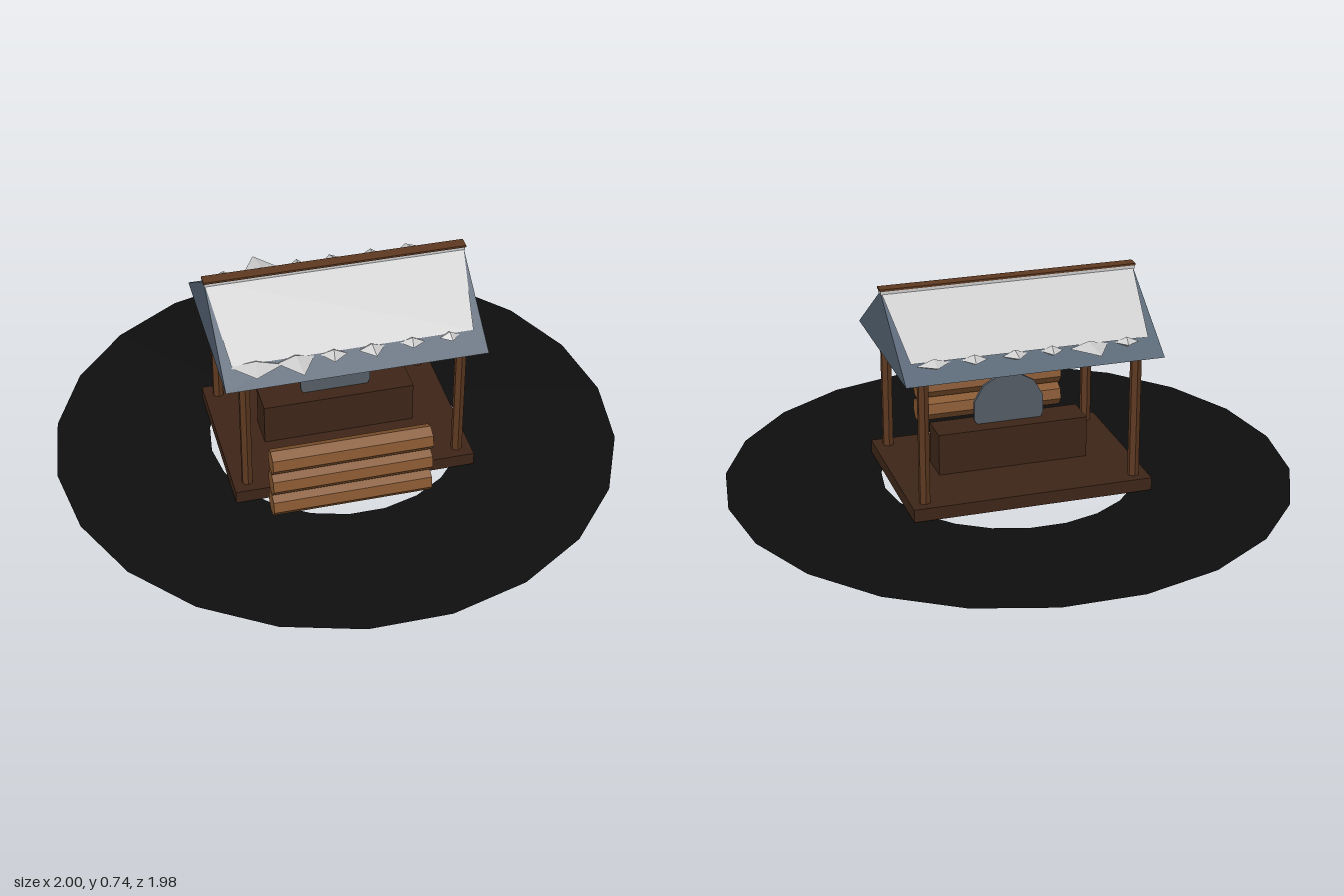
import * as THREE from 'three';

const mat = (color, side = THREE.FrontSide) =>
  new THREE.MeshStandardMaterial({ color, flatShading: true, side });

export function createModel() {
  const model = new THREE.Group();
  const darkWood = mat(0x3d2517), postWood = mat(0x5c3820), logWood = mat(0x85562f);
  const slate = mat(0x526070), steel = mat(0x555d66);
  const snow = mat(0xcccccc, THREE.DoubleSide);

  const add = (name, geometry, material, x = 0, y = 0, z = 0) => {
    const mesh = new THREE.Mesh(geometry, material);
    mesh.name = name;
    mesh.position.set(x, y, z);
    model.add(mesh);
    return mesh;
  };

  // Flat ground ring
  add('groundRing', new THREE.RingGeometry(0.45, 1, 22).rotateX(-Math.PI / 2),
    mat(0x0e0e0e, THREE.DoubleSide));

  // Platform and four hexagonal posts
  add('platform', new THREE.BoxGeometry(0.85, 0.046, 0.6), darkWood, 0, 0.027, 0);
  for (const x of [-0.375, 0.375])
    for (const z of [-0.25, 0.25])
      add('post', new THREE.CylinderGeometry(0.02, 0.02, 0.47, 6), postWood, x, 0.28, z);

  // Saw bench with an upright blade set into it
  add('sawBench', new THREE.BoxGeometry(0.54, 0.15, 0.12), darkWood, 0, 0.125, 0);
  const blade = new THREE.CylinderGeometry(0.13, 0.13, 0.012, 12)
    .rotateY(Math.PI / 12).rotateX(Math.PI / 2);
  add('sawBlade', blade, steel, 0, 0.249, 0);

  // Stack of logs in front
  const log = new THREE.CylinderGeometry(0.044, 0.044, 0.55, 7)
    .rotateY(Math.PI / 2).rotateZ(Math.PI / 2);
  for (let i = 0; i < 3; i++) add('log', log, logWood, -0.053, 0.092 + i * 0.09, 0.427);

  // Gabled roof, a solid triangular prism
  const gable = new THREE.Shape([
    new THREE.Vector2(-0.325, 0.505), new THREE.Vector2(0.325, 0.505), new THREE.Vector2(0, 0.727),
  ]);
  const roof = new THREE.ExtrudeGeometry(gable, { depth: 0.9, bevelEnabled: false })
    .translate(0, 0, -0.45).rotateY(Math.PI / 2);
  add('roof', roof, slate);

  // Ridge board on a pale strip
  add('ridgeStrip', new THREE.BoxGeometry(0.904, 0.014, 0.034), snow, 0, 0.726, 0);
  add('ridgeBoard', new THREE.BoxGeometry(0.91, 0.007, 0.042), postWood, 0, 0.7355, 0);

  // Snow sheets, narrower toward the eaves, with pointed clumps along their lower edge
  // each clump: x, width, reach beyond the sheet
  const clumps = {
    1: [[-0.335, 0.18, 0.07], [-0.2, 0.13, 0.09], [-0.07, 0.09, 0.045],
      [0.06, 0.09, 0.05], [0.2, 0.085, 0.035], [0.33, 0.07, 0.03]],
    '-1': [[-0.335, 0.085, 0.035], [-0.2, 0.14, 0.1], [-0.07, 0.075, 0.045],
      [0.06, 0.09, 0.045], [0.2, 0.09, 0.045], [0.34, 0.12, 0.045]],
  };
  for (const s of [1, -1]) {
    const sheet = new THREE.BufferGeometry();
    sheet.setAttribute('position', new THREE.Float32BufferAttribute([
      -0.45 * s, 0.732, 0, -0.415 * s, 0.558, 0.256 * s,
      0.415 * s, 0.558, 0.256 * s, 0.45 * s, 0.732, 0,
    ], 3));
    sheet.setIndex([0, 1, 2, 0, 2, 3]);
    sheet.computeVertexNormals();
    add('snowSheet', sheet, snow);

    clumps[s].forEach(([x, width, reach], i) => {
      const clump = new THREE.OctahedronGeometry(1);
      const p = clump.attributes.position;
      for (let k = 0; k < p.count; k++) {
        const z = p.getZ(k);
        p.setXYZ(k, p.getX(k) * width / 2, p.getY(k) * 0.018, z * (z > 0 ? reach : 0.03));
      }
      clump.rotateY((s < 0 ? Math.PI : 0) + (i % 2 ? 0.1 : -0.15));
      clump.computeVertexNormals();
      add('snowClump', clump, snow, x, 0.552, 0.262 * s);
    });
  }
  return model;
}
